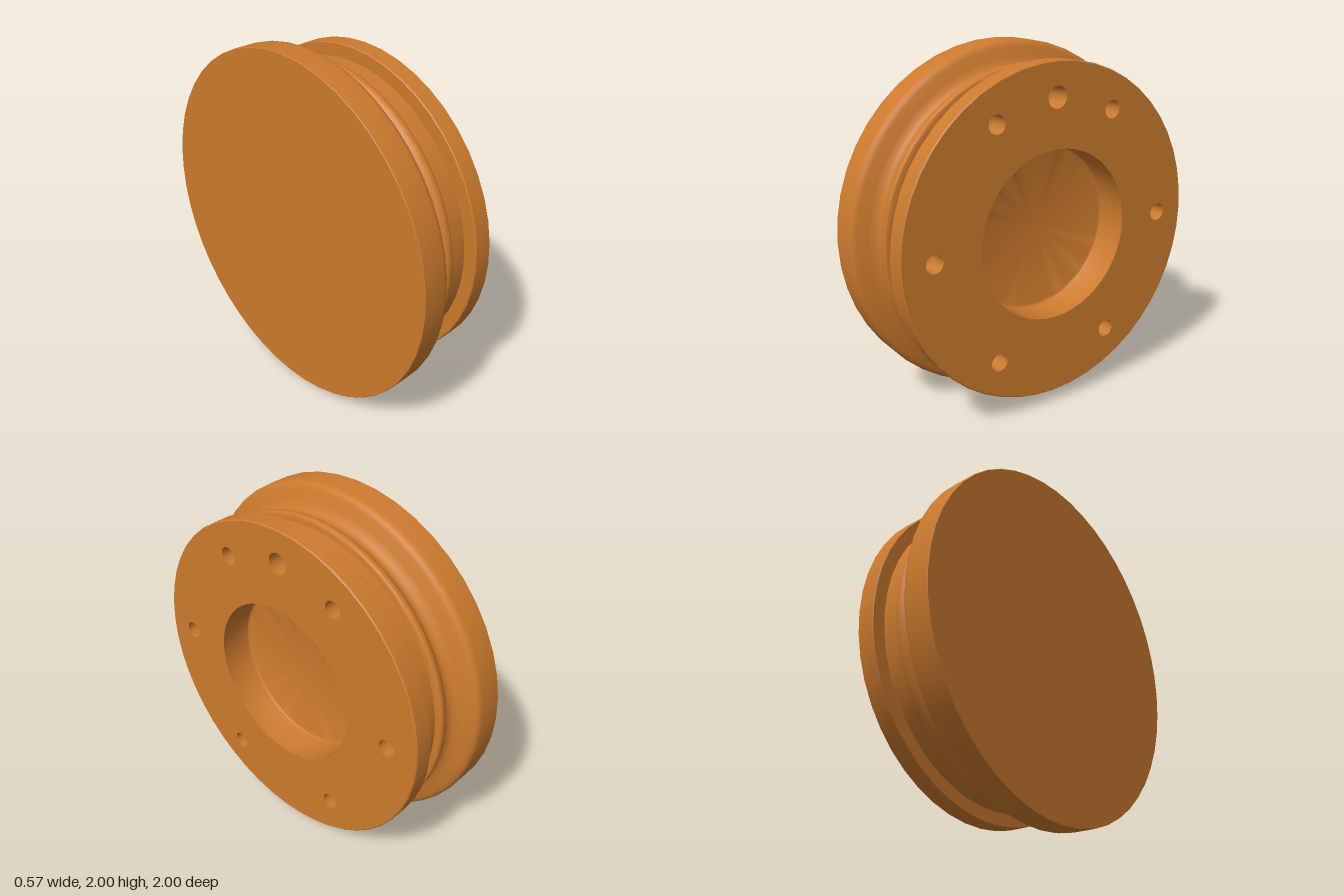
import * as THREE from 'three';
import { toCreasedNormals } from 'three/addons/utils/BufferGeometryUtils.js';

const SIDES = 48, HOLE_SIDES = 24;
const FRONT = 0.283, BACK = -0.284;      // flat faces along the wheel axis (x)
const RIM = 0.922, RECESS = 0.472;       // radii bounding the hub face

// Points of a circle, for face outlines
function circle(r, cx, cy, n) {
  return Array.from({ length: n }, (_, i) => {
    const a = (i / n) * Math.PI * 2;
    return new THREE.Vector2(cx + r * Math.cos(a), cy + r * Math.sin(a));
  });
}

// Revolve [x, radius] pairs around the x axis
function revolve(profile, sides) {
  const points = profile.map(([x, r]) => new THREE.Vector2(r, x));
  const geo = new THREE.LatheGeometry(points, sides);
  geo.rotateZ(-Math.PI / 2);
  return toCreasedNormals(geo, 0.7);
}

export function createModel() {
  const model = new THREE.Group();
  model.name = 'wheel';
  const material = new THREE.MeshStandardMaterial({ color: 0xcc7a2e });
  const add = (name, geo, z = 0, y = 1) => {
    const mesh = new THREE.Mesh(geo, material);
    mesh.name = name;
    mesh.position.set(0, y, z);
    model.add(mesh);
  };

  // Closed back, wide flange, curved throat, bead, groove and front rim
  add('wheelBody', revolve([
    [BACK, 0], [BACK, 0.997], [BACK + 0.003, 1], [-0.15, 1], [-0.133, 0.997], [-0.119, 0.987],
    [-0.108, 0.967], [-0.093, 0.915], [-0.08, 0.885], [-0.065, 0.87],
    [-0.045, 0.863], [-0.025, 0.864], [-0.011, 0.873], [0, 0.885], [0.012, 0.892],
    [0.032, 0.893], [0.041, 0.888], [0.045, 0.88], [0.045, 0.853],
    [0.172, 0.853], [0.172, 0.923], [0.177, 0.928], [FRONT - 0.006, 0.928], [FRONT, RIM],
  ], SIDES), 0);

  // Central recess with a small fillet at its floor
  add('centreRecess', revolve([
    [FRONT, RECESS], [0.105, RECESS], [0.098, 0.469], [0.094, 0.464], [0.092, 0.457], [0.092, 0],
  ], SIDES));

  // Six evenly spaced bolt holes and one larger hole at the top
  const holes = [{ r: 0.06, z: 0, y: 0.742 }];
  for (let i = 0; i < 6; i++) {
    const a = (i * Math.PI) / 3;
    holes.push({ r: 0.05, z: 0.742 * Math.cos(a), y: 0.742 * Math.sin(a) });
  }

  // Hub face pierced by the recess and holes
  const face = new THREE.Shape(circle(RIM, 0, 0, SIDES));
  face.holes.push(new THREE.Path(circle(RECESS, 0, 0, SIDES)));
  for (const { r, z, y } of holes) face.holes.push(new THREE.Path(circle(r, -z, y, HOLE_SIDES)));
  const faceGeo = new THREE.ShapeGeometry(face);
  faceGeo.rotateY(Math.PI / 2).translate(FRONT, 0, 0);
  add('hubFace', faceGeo);

  // Drilled bores with conical bottoms
  holes.forEach(({ r, z, y }, i) => {
    const bore = revolve([[FRONT, r], [FRONT - 0.12, r], [FRONT - 0.12 - r * 0.6, 0]], HOLE_SIDES);
    add(i === 0 ? 'topHole' : `boltHole${i}`, bore, z, 1 + y);
  });

  return model;
}
